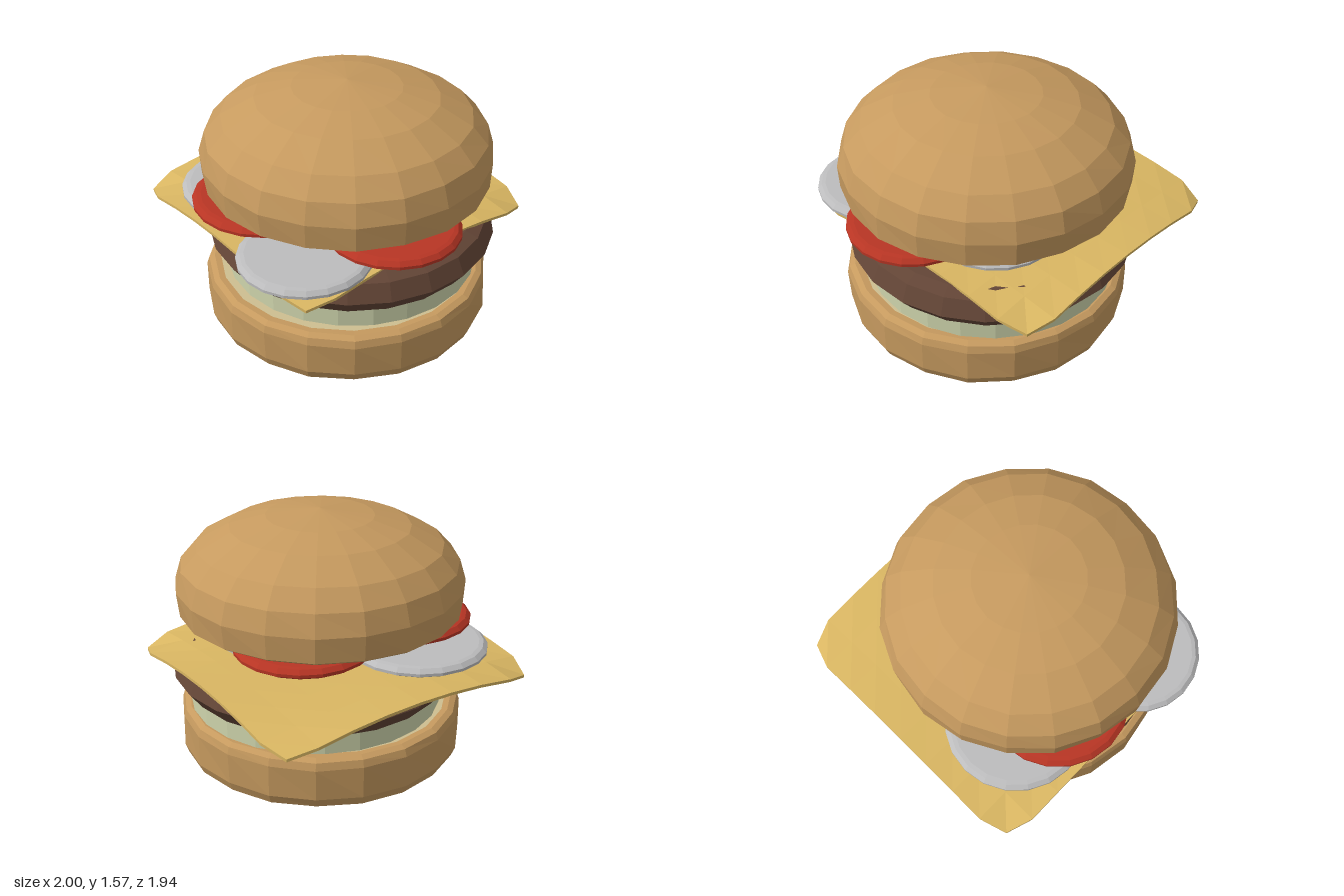
import * as THREE from 'three';

const paint = (name, color) => {
  const m = new THREE.MeshStandardMaterial({ color });
  m.name = name;
  return m;
};

// Faceted normals for the low-poly look
function facet(geometry) {
  const g = geometry.index ? geometry.toNonIndexed() : geometry;
  g.computeVertexNormals();
  return g;
}

// Turned part from a [radius, y] profile, bottom to top, with an optional uneven edge
function turned(profile, sides, wobble = 0) {
  const g = new THREE.LatheGeometry(profile.map(([r, y]) => new THREE.Vector2(r, y)), sides);
  const p = g.attributes.position;
  for (let i = 0; i < p.count; i++) {
    const x = p.getX(i), y = p.getY(i), z = p.getZ(i);
    const a = Math.atan2(z, x);
    const k = 1 + wobble * Math.sin(3 * a + 9 * y) * Math.cos(5 * a);
    p.setX(i, x * k);
    p.setZ(i, z * k);
  }
  return facet(g);
}

export function createModel() {
  const bun = paint('bun crust', 0xc69a5f);
  const crumb = paint('bun crumb', 0xcdbe90);
  const onionWhite = paint('onion', 0xbcbcbd);
  const red = paint('tomato', 0xb83524);
  const yellow = paint('cheese', 0xd9b662);
  const brown = paint('patty', 0x634536);
  const green = paint('lettuce', 0xced4ac);

  const burger = new THREE.Group();
  burger.name = 'burger';
  const add = (name, geometry, material, x = 0, y = 0, z = 0) => {
    const mesh = new THREE.Mesh(geometry, material);
    mesh.name = name;
    mesh.position.set(x, y, z);
    burger.add(mesh);
  };

  // Bottom bun with its cut face
  add('bottomBun', turned([[0, 0], [0.78, 0.01], [0.865, 0.03], [0.89, 0.09], [0.89, 0.29],
    [0.875, 0.335], [0.84, 0.352], [0.79, 0.348]], 20, 0.008), bun, 0.06, 0, -0.015);
  add('bottomBunCutFace', turned([[0.8, 0.349], [0, 0.349]], 20), crumb, 0.06, 0, -0.015);

  // Lettuce and patty
  add('lettuce', turned([[0, 0.355], [0.79, 0.355], [0.79, 0.485], [0, 0.485]], 24),
    green, 0.06, 0, -0.055);
  add('patty', turned([[0, 0.475], [0.81, 0.48], [0.89, 0.585], [0.84, 0.69], [0.76, 0.718],
    [0, 0.722]], 22), brown, 0.06, 0, -0.055);

  // Cheese slice: clipped corners that droop
  const slice = new THREE.BoxGeometry(2, 0.018, 2, 8, 1, 8);
  const p = slice.attributes.position;
  for (let i = 0; i < p.count; i++) {
    const u = p.getX(i), v = p.getZ(i);
    const corner = Math.max(0, Math.min(Math.abs(u), Math.abs(v)) - 0.75) / 0.25;
    const k = 1 - 0.065 * corner;
    p.setXYZ(i, u * k * 0.87, p.getY(i) - 0.1 * u * u * v * v, v * k * 0.905);
  }
  add('cheese', facet(slice), yellow, -0.13, 0.734, -0.065);

  // Onion and tomato slices: [radius, x, z]
  const addSlices = (name, material, y, h, list) => list.forEach(([r, x, z], i) =>
    add(name + (i + 1), turned([[0, 0], [0.9 * r, 0], [r, 0.35 * h], [r, 0.6 * h],
      [0.94 * r, 0.93 * h], [0.88 * r, h], [0, h]], 20), material, x, y, z));
  addSlices('onionSlice', onionWhite, 0.732, 0.07,
    [[0.435, -0.43, 0.36], [0.395, 0.405, 0.575], [0.41, 0.22, -0.235]]);
  addSlices('tomatoSlice', red, 0.808, 0.074,
    [[0.445, -0.16, 0.44], [0.405, 0.59, 0.07], [0.42, -0.19, -0.31]]);

  // Top bun with its cut face
  add('topBun', turned([[0.79, 0.956], [0.85, 0.95], [0.88, 0.97], [0.89, 1.12], [0.85, 1.25],
    [0.75, 1.36], [0.55, 1.47], [0.33, 1.53], [0, 1.57]], 20, 0.008), bun, 0.06, 0, -0.015);
  add('topBunCutFace', turned([[0, 0.956], [0.8, 0.956]], 20), crumb, 0.06, 0, -0.015);

  return burger;
}
